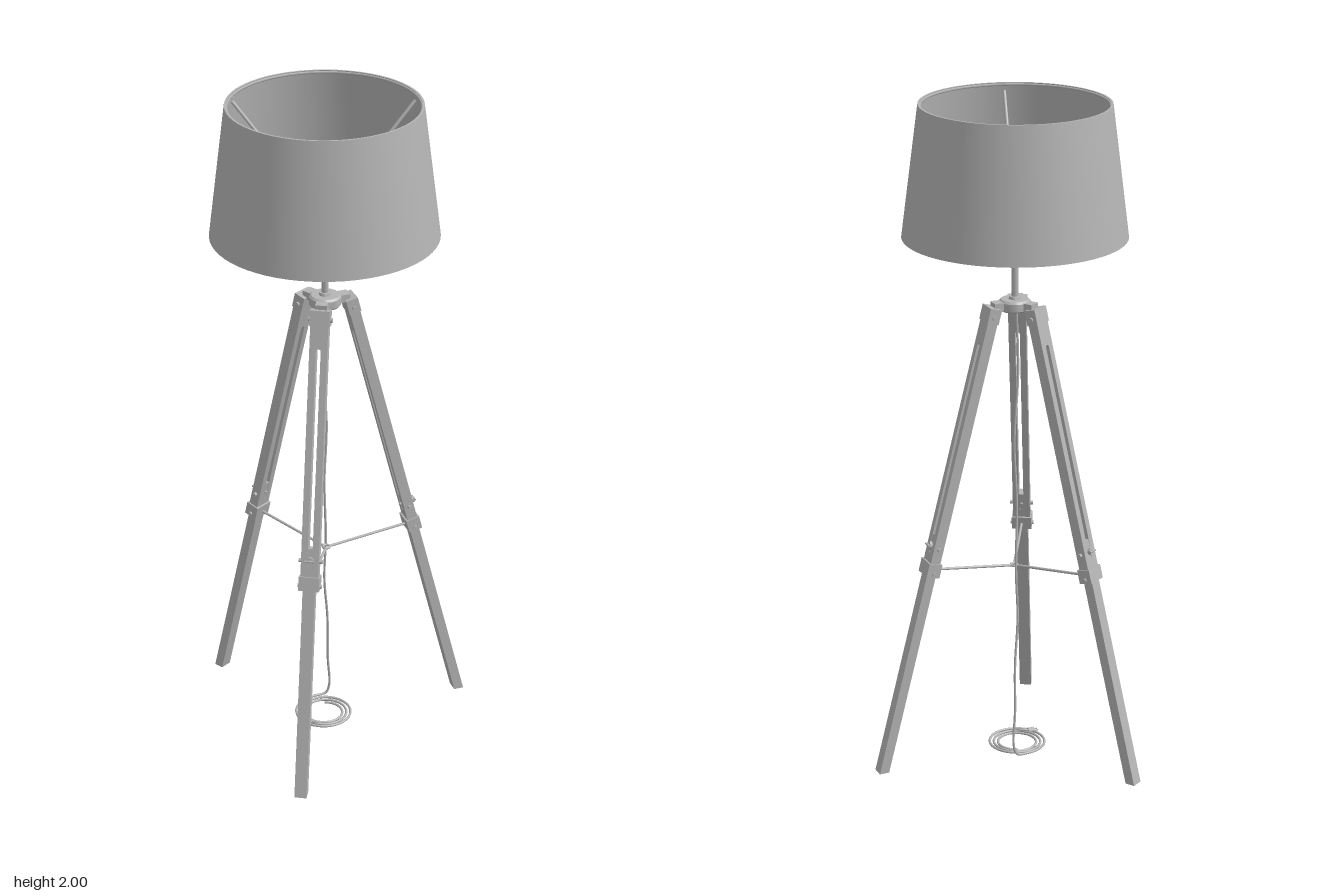
import * as THREE from 'three';
import { toCreasedNormals } from 'three/addons/utils/BufferGeometryUtils.js';

const AXIS = -0.065;               // x of the pole
const LEAN = Math.atan(0.258);     // outward lean of the legs
const FOOT = 0.435;                // foot distance from the pole
const grey = new THREE.MeshStandardMaterial({ color: 0xb4b4b4 });
grey.name = 'plain grey';

const V = (x, y, z) => new THREE.Vector3(x, y, z);

function add(parent, name, geometry, x = 0, y = 0, z = 0) {
  const mesh = new THREE.Mesh(geometry, grey);
  mesh.name = name;
  mesh.position.set(x, y, z);
  parent.add(mesh);
  return mesh;
}

function rod(parent, name, a, b, radius) {
  const mesh = add(parent, name, new THREE.CylinderGeometry(radius, radius, a.distanceTo(b), 10));
  mesh.position.copy(a).add(b).multiplyScalar(0.5);
  mesh.quaternion.setFromUnitVectors(V(0, 1, 0), b.clone().sub(a).normalize());
  return mesh;
}

function lathe(points, segments) {
  const g = new THREE.LatheGeometry(points.map(p => new THREE.Vector2(...p)), segments);
  return toCreasedNormals(g, 0.6);
}

// Rounded outline, used for the board and its slot
function capsule(path, w, y0, y1) {
  path.moveTo(w, y0);
  path.lineTo(w, y1);
  path.absarc(0, y1, w, 0, Math.PI, false);
  path.lineTo(-w, y0);
  path.absarc(0, y0, w, Math.PI, Math.PI * 2, false);
  return path;
}

// One leg; its local y runs along the leg, x points outward
function makeLeg() {
  const arm = new THREE.Group();
  const leg = new THREE.Group();
  leg.position.x = FOOT;
  leg.rotation.z = LEAN;
  arm.add(leg);

  // Sliding lower leg, cut level with the floor
  const lower = new THREE.BoxGeometry(0.029, 0.76, 0.036).translate(0, 0.38, 0);
  const p = lower.attributes.position;
  for (let i = 0; i < p.count; i++)
    if (p.getY(i) < 0.01) p.setY(i, -p.getX(i) * Math.tan(LEAN));
  lower.computeVertexNormals();
  add(leg, 'lowerLeg', lower);

  // Slotted upper leg
  const board = new THREE.Shape();
  board.moveTo(-0.026, 0.64);
  board.lineTo(0.026, 0.64);
  board.lineTo(0.026, 1.44);
  board.lineTo(-0.026, 1.44);
  board.holes.push(capsule(new THREE.Path(), 0.007, 0.71, 1.34));
  const upper = new THREE.ExtrudeGeometry(board, { depth: 0.031, bevelEnabled: false, curveSegments: 6 });
  upper.translate(0, 0, -0.0155).rotateY(Math.PI / 2);
  add(leg, 'upperLeg', upper);

  // Clamp, its bolts and the locking knob
  add(leg, 'clamp', new THREE.BoxGeometry(0.042, 0.042, 0.06), 0, 0.655, 0);
  for (const y of [0.645, 0.72])
    rod(leg, 'clampBolt', V(0, y, -0.035), V(0, y, 0.035), 0.006);
  rod(leg, 'knobStem', V(-0.02, 0.725, 0), V(0.026, 0.725, 0), 0.005);
  rod(leg, 'knob', V(0.016, 0.725, 0), V(0.024, 0.725, 0), 0.012);
  rod(leg, 'knobWing', V(0.027, 0.725, -0.013), V(0.027, 0.725, 0.013), 0.003);

  // Hinge at the top
  add(leg, 'hingeCap', new THREE.BoxGeometry(0.036, 0.045, 0.058), 0, 1.435, 0);
  rod(leg, 'hingeBolt', V(0, 1.43, -0.035), V(0, 1.43, 0.035), 0.007);
  add(arm, 'hubArm', new THREE.BoxGeometry(0.06, 0.024, 0.034), 0.04, 1.412, 0);

  // Brace to the middle ring
  rod(arm, 'brace', V(0.01, 0.597, 0), V(0.255, 0.627, 0), 0.004);
  return arm;
}

export function createModel() {
  const model = new THREE.Group();
  model.name = 'tripodFloorLamp';
  const lamp = new THREE.Group();
  lamp.name = 'lamp';
  lamp.position.x = AXIS;
  model.add(lamp);

  // Open, tapered shade with thin wall
  add(lamp, 'shade', lathe([
    [0.319, 1.615], [0.325, 1.615], [0.275, 2], [0.269, 2], [0.319, 1.615],
  ], 64));
  for (const [r, y] of [[0.269, 1.994], [0.317, 1.621]])
    add(lamp, 'shadeRing', new THREE.TorusGeometry(r, 0.004, 6, 64).rotateX(Math.PI / 2), 0, y, 0);

  // Shade carrier spokes
  for (const deg of [0, 109, 220]) {
    const a = THREE.MathUtils.degToRad(deg);
    rod(lamp, 'shadeSpoke', V(Math.cos(a) * 0.02, 1.69, Math.sin(a) * 0.02),
      V(Math.cos(a) * 0.27, 1.975, Math.sin(a) * 0.27), 0.005);
  }

  // Pole, socket and bulb
  rod(lamp, 'pole', V(0, 1.4, 0), V(0, 1.64, 0), 0.01);
  add(lamp, 'socket', lathe([
    [0, 1.63], [0.016, 1.63], [0.02, 1.64], [0.02, 1.68], [0.026, 1.682], [0.026, 1.695], [0, 1.695],
  ], 24));
  add(lamp, 'bulb', lathe([
    [0.018, 1.69], [0.022, 1.705], [0.036, 1.722], [0.047, 1.742], [0.05, 1.76],
    [0.047, 1.778], [0.036, 1.796], [0.02, 1.807], [0, 1.81],
  ], 32));

  // Hub
  add(lamp, 'hub', lathe([
    [0, 1.395], [0.042, 1.395], [0.046, 1.4], [0.046, 1.422], [0.04, 1.428],
    [0.018, 1.428], [0.016, 1.436], [0, 1.436],
  ], 32));

  // Three legs
  for (let i = 0; i < 3; i++) {
    const arm = makeLeg();
    arm.name = 'leg';
    arm.rotation.y = -THREE.MathUtils.degToRad(1 + i * 120);
    lamp.add(arm);
  }
  add(lamp, 'braceRing', new THREE.TorusGeometry(0.01, 0.004, 8, 16).rotateX(Math.PI / 2), 0, 0.597, 0);

  // Cord hanging from the hub, then coiled on the floor
  const hang = [
    V(-0.068, 1.4, -0.005), V(-0.07, 1.2, -0.012), V(-0.053, 1.0, -0.024), V(-0.056, 0.8, -0.036),
    V(-0.047, 0.6, -0.05), V(-0.049, 0.45, -0.058), V(-0.035, 0.3, -0.07), V(-0.031, 0.15, -0.079),
    V(-0.024, 0.04, -0.086), V(-0.035, 0.012, -0.088),
  ];
  const turns = 3, steps = 16;
  for (let i = 1; i <= turns * steps; i++) {
    const t = i / (turns * steps);
    const a = -1.2 - t * turns * Math.PI * 2;
    const r = 0.09 - 0.038 * t;
    hang.push(V(-0.073 + r * Math.cos(a), 0.009 - 0.004 * t, r * Math.sin(a)));
  }
  add(model, 'cord', new THREE.TubeGeometry(new THREE.CatmullRomCurve3(hang), 300, 0.0038, 8));
  const tail = [V(-0.105, 0.006, 0.062), V(-0.12, 0.012, 0.05), V(-0.137, 0.012, 0.042)];
  add(model, 'cordTail', new THREE.TubeGeometry(new THREE.CatmullRomCurve3(tail), 12, 0.0038, 8));

  // Plug with two pins
  rod(model, 'plug', V(-0.134, 0.011, 0.042), V(-0.153, 0.011, 0.04), 0.009);
  for (const dz of [-0.005, 0.005])
    rod(model, 'plugPin', V(-0.152, 0.011, 0.04 + dz), V(-0.166, 0.011, 0.039 + dz), 0.002);

  return model;
}
